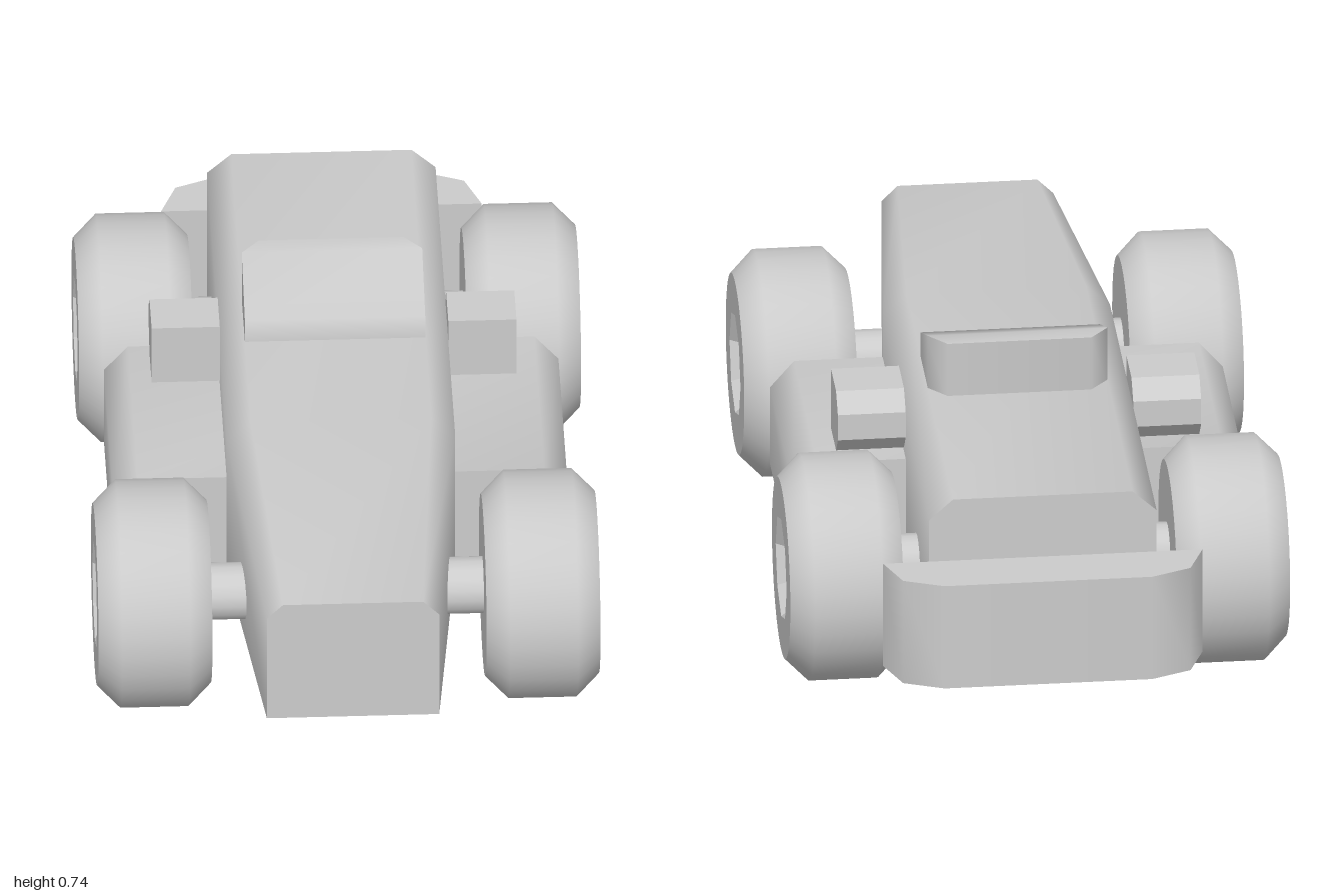
import * as THREE from 'three';
import { toCreasedNormals } from 'three/addons/utils/BufferGeometryUtils.js';

const grey = new THREE.MeshStandardMaterial({ color: 0xcccccc });
const flat = new THREE.MeshStandardMaterial({ color: 0xcccccc, flatShading: true });

function add(parent, name, geometry, material = grey) {
  const mesh = new THREE.Mesh(geometry, material);
  mesh.name = name;
  parent.add(mesh);
  return mesh;
}

// Box section with bevelled top corners, counter-clockwise seen from +z
const section = (z, w, bottom, top, bx = 0, by = 0) => {
  const side = bx
    ? [[w, bottom], [w, top - by], [w - bx, top]]
    : [[w, bottom], [w, top]];
  const mirrored = side.map(([x, y]) => [-x, y]).reverse();
  return [...side, ...mirrored].map(([x, y]) => [x, y, z]);
};

// Skin over sections ordered by rising z, closed at both ends
function loft(sections, crease = Math.PI / 3) {
  const n = sections[0].length;
  const index = [];
  for (let s = 0; s < sections.length - 1; s++) {
    for (let i = 0; i < n; i++) {
      const a = s * n + i, b = s * n + (i + 1) % n;
      index.push(a, b, b + n, a, b + n, a + n);
    }
  }
  const last = (sections.length - 1) * n;
  for (let i = 1; i < n - 1; i++) {
    index.push(0, i + 1, i, last, last + i, last + i + 1);
  }
  const g = new THREE.BufferGeometry();
  g.setAttribute('position', new THREE.Float32BufferAttribute(sections.flat(2), 3));
  g.setIndex(index);
  return toCreasedNormals(g, crease);
}

// Wheel along local y, outer face towards +y, then turned to face +x
function createWheel() {
  const wheel = new THREE.Group();
  const spin = new THREE.Group();
  spin.rotation.z = -Math.PI / 2;
  wheel.add(spin);
  const v = (r, y) => new THREE.Vector2(r, y);
  const half = 0.142, face = 0.228, hub = 0.135;

  add(spin, 'tyre', new THREE.LatheGeometry(
    [v(face, -half), v(0.285, -0.085), v(0.285, 0.085), v(face, half)], 32));

  // Outer face with an octagonal opening
  const disc = new THREE.Shape().absarc(0, 0, face, 0, Math.PI * 2);
  const opening = [];
  for (let i = 0; i < 8; i++) {
    const a = i * Math.PI / 4;
    opening.push(v(hub * Math.cos(a), hub * Math.sin(a)));
  }
  disc.holes.push(new THREE.Path(opening));
  add(spin, 'wheelFace', new THREE.ShapeGeometry(disc, 32).rotateX(-Math.PI / 2).translate(0, half, 0));
  add(spin, 'wheelBack', new THREE.CircleGeometry(face, 32).rotateX(Math.PI / 2).translate(0, -half, 0));
  add(spin, 'hubRecess', new THREE.LatheGeometry(
    [v(hub, half), v(0.088, half - 0.06), v(0, half - 0.06)], 8), flat);

  // Stub axle towards the body
  add(spin, 'axle', new THREE.CylinderGeometry(0.072, 0.072, 0.12, 16).translate(0, -half - 0.05, 0));
  return wheel;
}

export function createModel() {
  const car = new THREE.Group();
  car.name = 'racingCar';

  // Main hull with tapering nose
  add(car, 'body', loft([
    section(-0.86, 0.285, 0.145, 0.6, 0.06, 0.055),
    section(0.29, 0.285, 0.145, 0.6, 0.06, 0.055),
    section(1, 0.215, 0.2, 0.545, 0.04, 0.04),
  ]));

  // Side pods, one block running through the hull
  add(car, 'sidePods', loft([
    section(-0.285, 0.567, 0.145, 0.43, 0.06, 0.07),
    section(0.285, 0.567, 0.145, 0.43, 0.06, 0.07),
  ]));

  add(car, 'rearBumper', loft([
    section(-1, 0.26, 0.145, 0.43),
    section(-0.96, 0.36, 0.145, 0.43),
    section(-0.86, 0.4, 0.145, 0.43),
  ]));

  // Sloping cowl behind the cockpit
  add(car, 'cowl', loft([
    section(-0.285, 0.18, 0.58, 0.745),
    section(-0.235, 0.225, 0.58, 0.745),
    section(-0.055, 0.225, 0.58, 0.665),
  ], 1.3));

  // Side mirrors with bevelled rear edges
  for (const side of [1, -1]) {
    const mirror = add(car, side > 0 ? 'leftMirror' : 'rightMirror', loft([
      [[0.085, 0.49], [0.085, 0.56], [-0.085, 0.56], [-0.085, 0.49]].map(([x, y]) => [x, y, -0.285]),
      section(-0.24, 0.085, 0.44, 0.605),
      section(-0.115, 0.085, 0.44, 0.605),
    ], 0.5));
    mirror.position.x = side * 0.37;

    for (const end of [1, -1]) {
      const wheel = createWheel();
      wheel.name = (end > 0 ? 'front' : 'rear') + (side > 0 ? 'Left' : 'Right') + 'Wheel';
      wheel.position.set(side * 0.484, 0.286, end * 0.57);
      if (side < 0) wheel.rotation.y = Math.PI;
      car.add(wheel);
    }
  }
  return car;
}
